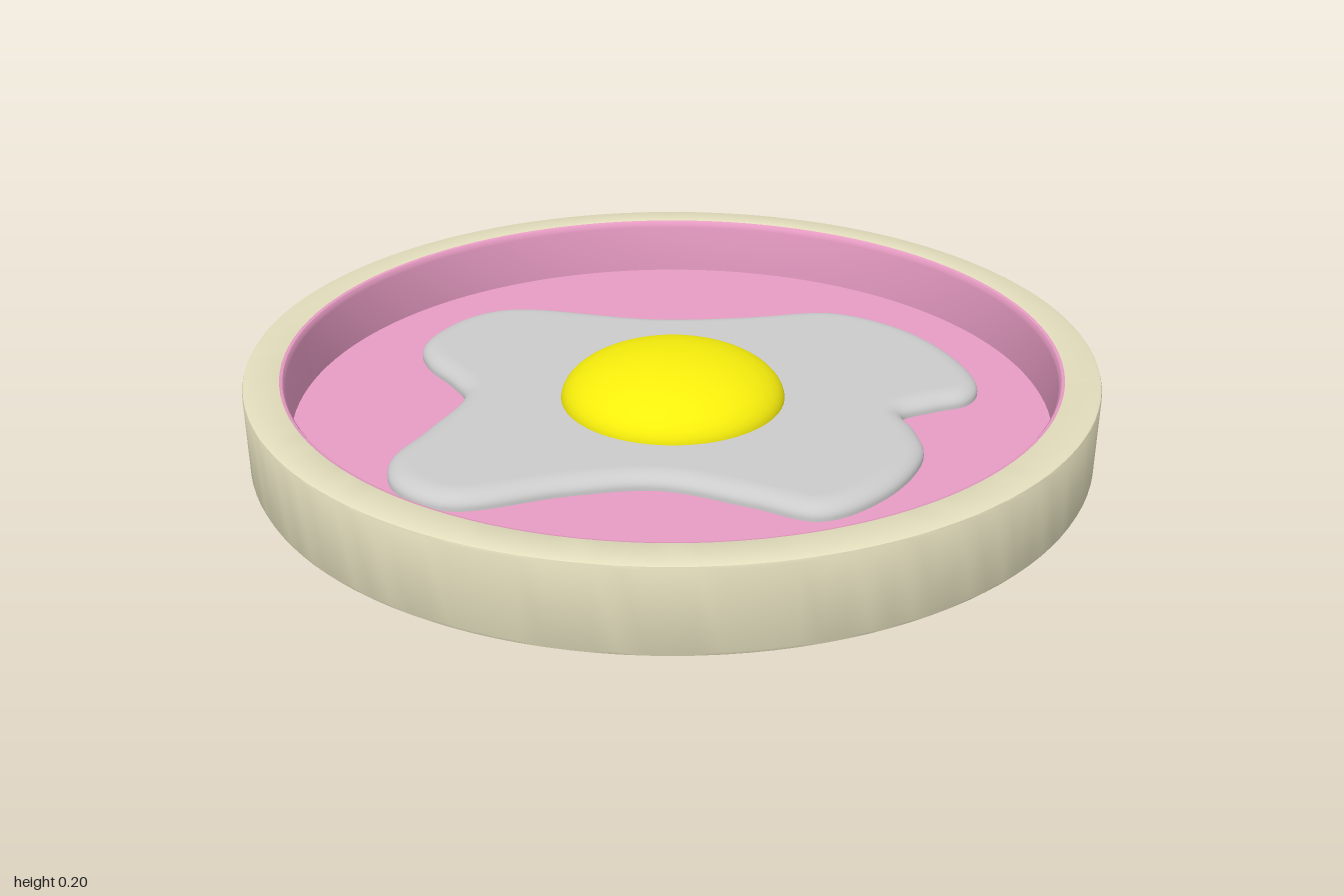
import * as THREE from 'three';
import { mergeVertices, toCreasedNormals } from 'three/addons/utils/BufferGeometryUtils.js';

const FLOOR = 0.055; // height of the dish's inner floor

function part(name, geometry, color) {
  const mesh = new THREE.Mesh(geometry, new THREE.MeshStandardMaterial({ color }));
  mesh.name = name;
  return mesh;
}

// Lathe from [radius, height] pairs, keeping hard corners crisp
function turned(points) {
  const profile = points.map(([r, y]) => new THREE.Vector2(r, y));
  return toCreasedNormals(new THREE.LatheGeometry(profile, 128), 0.6);
}

export function createModel() {
  const model = new THREE.Group();
  model.name = 'friedEggDish';

  // Outer dish: flat base, straight wall, softened rim
  model.add(part('dish', turned([
    [0, 0], [0.99, 0], [0.997, 0.003], [1, 0.01],
    [1, 0.193], [0.998, 0.199], [0.992, 0.202],
    [0.917, 0.202], [0.912, 0.2],
  ]), 0xe2ddbc));

  // Coloured lining: inner lip, wall and floor
  model.add(part('lining', turned([
    [0.917, 0.202], [0.91, 0.2], [0.906, 0.194], [0.904, 0.185],
    [0.904, FLOOR], [0, FLOOR],
  ]), 0xe89cc4));

  // Egg white: wavy outline (x, z) with a rounded edge, lower half sunk in the floor
  const outline = [
    [-0.43, -0.5], [-0.09, -0.465], [0.14, -0.5], [0.38, -0.555], [0.57, -0.46],
    [0.7, -0.28], [0.74, -0.13], [0.71, -0.055], [0.63, -0.01], [0.552, 0.045],
    [0.58, 0.13], [0.595, 0.24], [0.51, 0.43], [0.37, 0.545], [0.22, 0.5],
    [0.015, 0.445], [-0.18, 0.49], [-0.42, 0.58], [-0.555, 0.51], [-0.595, 0.4],
    [-0.55, 0.25], [-0.5, 0.05], [-0.545, -0.03], [-0.635, -0.14], [-0.67, -0.24],
    [-0.62, -0.39], [-0.535, -0.475],
  ].map(([x, z]) => new THREE.Vector3(x, -z, 0));
  const curve = new THREE.CatmullRomCurve3(outline, true, 'centripetal');
  const rim = curve.getPoints(216).slice(0, -1).reverse();
  const shape = new THREE.Shape(rim.map((p) => new THREE.Vector2(p.x, p.y)));
  let white = new THREE.ExtrudeGeometry(shape, {
    depth: 0.01, bevelThickness: 0.03, bevelSize: 0.05, bevelOffset: -0.05, bevelSegments: 8,
  });
  white.deleteAttribute('uv');
  white.deleteAttribute('normal');
  white = mergeVertices(white, 1e-5);
  white.computeVertexNormals();
  white.rotateX(-Math.PI / 2);
  white.translate(0, FLOOR - 0.003, 0);
  model.add(part('eggWhite', white, 0xcccccc));

  // Yolk: flattened dome resting on the white
  const yolk = part('yolk', new THREE.SphereGeometry(0.268, 64, 24, 0, Math.PI * 2, 0, Math.PI / 2), 0xf7ee0c);
  yolk.scale.y = 0.42;
  yolk.position.set(0.005, 0.088, 0.03);
  model.add(yolk);

  return model;
}
